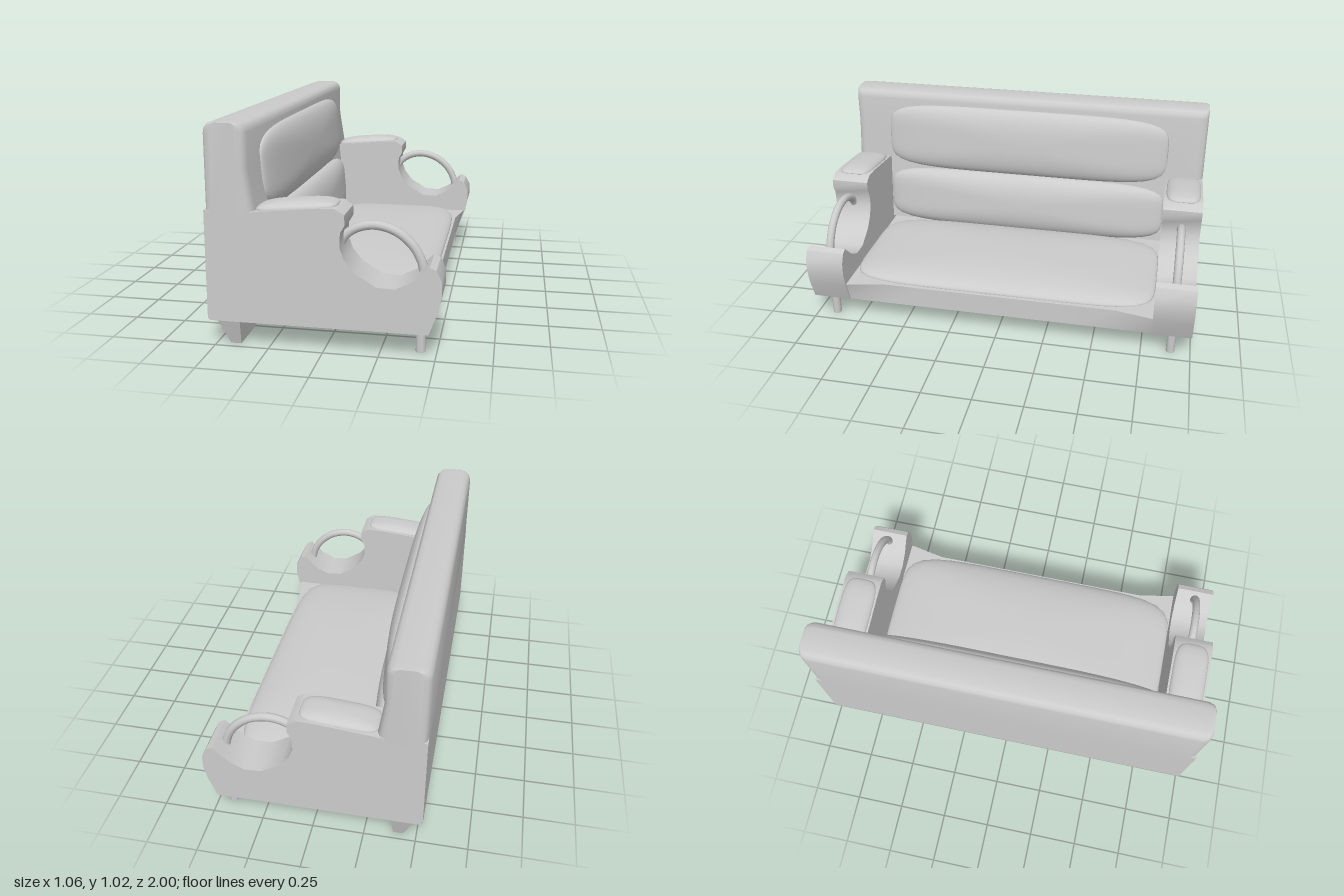
import * as THREE from 'three';
import { mergeVertices, toCreasedNormals } from 'three/addons/utils/BufferGeometryUtils.js';

const material = new THREE.MeshStandardMaterial({ color: 0xcccccc });

function mesh(name, geometry, parent) {
  const m = new THREE.Mesh(geometry, material);
  m.name = name;
  parent.add(m);
  return m;
}

// Side profile (x, y) extruded along z, centred on z
function slab(points, width, steps = 1) {
  const shape = new THREE.Shape(points.map(([x, y]) => new THREE.Vector2(x, y)));
  const g = new THREE.ExtrudeGeometry(shape, { depth: width, steps, bevelEnabled: false });
  g.translate(0, 0, -width / 2);
  return g;
}

// Domed pad: a sphere squared off to a w x h outline, swelling along +z
function cushion(w, h, squareness, puff) {
  const g = new THREE.SphereGeometry(1, 72, 32);
  g.rotateX(Math.PI / 2);
  g.deleteAttribute('uv');
  g.deleteAttribute('normal');
  const p = g.attributes.position;
  for (let i = 0; i < p.count; i++) {
    const x = p.getX(i), y = p.getY(i), z = p.getZ(i);
    const t = Math.min(1, Math.hypot(x, y));
    const norm = (Math.abs(x) ** squareness + Math.abs(y) ** squareness) ** (1 / squareness);
    const k = norm > 1e-6 ? t / norm : 0;
    const rise = Math.sqrt(1 - t ** 2.5);
    p.setXYZ(i, x * k * w / 2, y * k * h / 2, rise * (z > 0 ? puff : -0.015));
  }
  const merged = mergeVertices(g, 1e-5);
  merged.computeVertexNormals();
  return merged;
}

export function createModel() {
  const sofa = new THREE.Group();
  sofa.name = 'sofa';

  // Lower back with a leaning front face
  mesh('lowerBack', toCreasedNormals(slab([
    [-0.52, 0.118], [-0.37, 0.118], [-0.37, 0.215], [-0.27, 0.25], [-0.303, 0.63],
    [-0.53, 0.63], [-0.53, 0.13],
  ], 1.998), 0.65), sofa);

  // Upper back: rounded top, with the upright edges rounded at both ends
  const upperBack = slab([
    [-0.53, 0.6], [-0.303, 0.6], [-0.303, 0.63], [-0.332, 0.82], [-0.332, 0.975],
    [-0.337, 0.995], [-0.35, 1.011], [-0.375, 1.018], [-0.485, 1.018],
    [-0.51, 1.011], [-0.525, 0.995], [-0.53, 0.97],
  ], 2, 7);
  const levels = [0, 0.96, 0.985, 0.995, 1];
  const insets = [0, 0, 0.008, 0.018, 0.035];
  const b = upperBack.attributes.position;
  for (let i = 0; i < b.count; i++) {
    const z = b.getZ(i), x = b.getX(i);
    const level = Math.round((Math.abs(z) * 7 + 1) / 2);
    b.setZ(i, Math.sign(z) * levels[level]);
    b.setX(i, x + (-0.43 - x) * insets[level] / 0.1);
  }
  mesh('upperBack', toCreasedNormals(upperBack, 0.65), sofa);

  // Seat base: front rail flaring towards the arms, and a raised deck
  const rail = new THREE.BoxGeometry(0.22, 0.112, 1.62, 1, 1, 8);
  const p = rail.attributes.position;
  for (let i = 0; i < p.count; i++) {
    const flare = p.getY(i) > 0 && Math.abs(p.getZ(i)) > 0.75 ? 0.04 : 0;
    if (p.getX(i) > 0) p.setX(i, p.getX(i) + flare);
  }
  rail.computeVertexNormals();
  mesh('frontRail', rail, sofa).position.set(0.355, 0.174, 0);
  const deck = mesh('seatDeck', new THREE.BoxGeometry(0.68, 0.015, 1.62), sofa);
  deck.position.set(-0.07, 0.222, 0);

  // Cushions
  const seat = cushion(0.72, 1.6, 6, 0.065);
  seat.rotateX(-Math.PI / 2);
  mesh('seatCushion', seat, sofa).position.set(0.095, 0.237, 0);

  const backCushions = [
    ['upperBackCushion', 0.38, 0.064, -0.322, 0.765],
    ['lowerBackCushion', 0.34, 0.078, -0.287, 0.41],
  ];
  for (const [name, height, puff, x, y] of backCushions) {
    const pad = cushion(1.6, height, 5, puff);
    pad.rotateY(Math.PI / 2);
    const m = mesh(name, pad, sofa);
    m.position.set(x, y, 0);
    m.rotation.z = 0.08;
  }

  // Arms, each with a scooped front, pad, hoop and front leg
  const armShape = toCreasedNormals(slab([
    [-0.52, 0.118], [0.47, 0.118], [0.51, 0.225], [0.526, 0.3], [0.524, 0.365],
    [0.5, 0.412], [0.47, 0.425], [0.44, 0.397], [0.39, 0.35], [0.32, 0.317],
    [0.24, 0.321], [0.145, 0.378], [0.1, 0.435], [0.08, 0.49], [0.083, 0.555],
    [0.103, 0.59], [0.102, 0.635], [0.06, 0.662], [-0.02, 0.66], [-0.3, 0.632],
    [-0.335, 0.62], [-0.53, 0.6], [-0.53, 0.13],
  ], 0.2), 0.65);
  const armPad = cushion(0.37, 0.18, 4, 0.031);
  armPad.rotateX(-Math.PI / 2);
  const hoopPath = new THREE.CatmullRomCurve3([
    [0.06, 0.48], [0.085, 0.52], [0.14, 0.558], [0.22, 0.573], [0.31, 0.55],
    [0.385, 0.49], [0.425, 0.42], [0.44, 0.35],
  ].map(([x, y]) => new THREE.Vector3(x, y, 0)));
  const hoopShape = new THREE.TubeGeometry(hoopPath, 28, 0.021, 10);
  const legShape = new THREE.CylinderGeometry(0.022, 0.022, 0.14, 12);

  for (const side of [1, -1]) {
    const arm = new THREE.Group();
    arm.name = side > 0 ? 'leftArm' : 'rightArm';
    arm.position.z = side * 0.9;
    sofa.add(arm);
    mesh('armPanel', armShape, arm);
    const top = mesh('armPad', armPad, arm);
    top.position.set(-0.125, 0.648, 0);
    top.rotation.z = 0.085;
    mesh('armHoop', hoopShape, arm);
    mesh('frontLeg', legShape, arm).position.set(0.427, 0.07, 0);
  }

  // Tapered plinth under the back
  const plinth = new THREE.BoxGeometry(1, 0.12, 2);
  const q = plinth.attributes.position;
  for (let i = 0; i < q.count; i++) {
    const up = q.getY(i) > 0, front = q.getX(i) > 0;
    q.setX(i, front ? (up ? -0.38 : -0.388) : (up ? -0.483 : -0.437));
    if (!up) q.setZ(i, Math.sign(q.getZ(i)) * 0.963);
  }
  plinth.computeVertexNormals();
  mesh('backPlinth', plinth, sofa).position.y = 0.06;

  return sofa;
}
